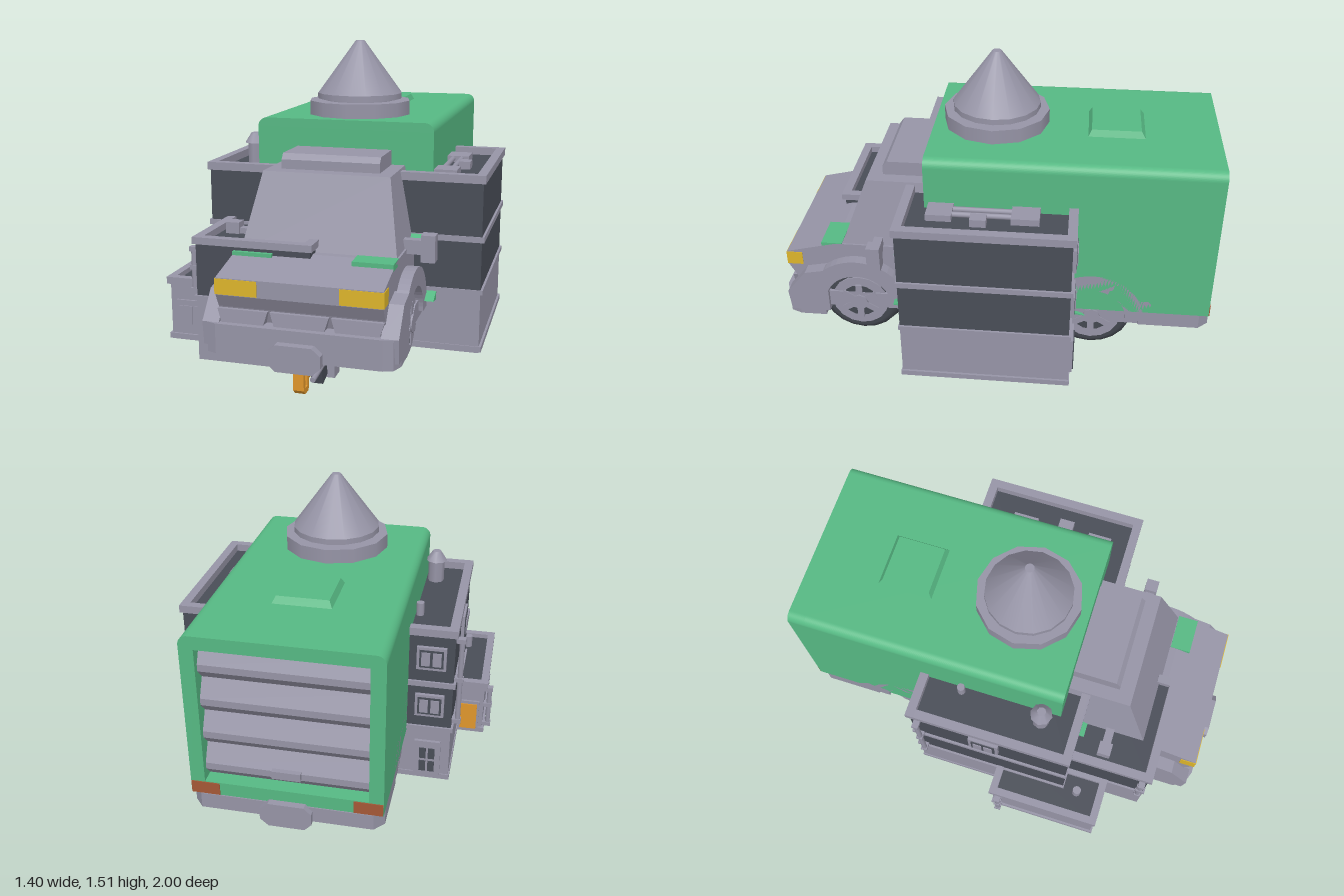
import * as THREE from 'three';

const mat = (name, color) => Object.assign(new THREE.MeshStandardMaterial({ color }), { name });

export function createModel() {
  const root = new THREE.Group();
  root.name = 'vanBuilding';
  const grey = mat('grey metal', 0x9694a6), dark = mat('dark wall', 0x494d57), green = mat('green paint', 0x56b883);
  const yellow = mat('yellow lamp', 0xdcb42b), orange = mat('orange', 0xdf962c), rust = mat('rust', 0xa45836);
  const tan = mat('copper tan', 0xc4936c), purple = mat('purple', 0x7550bd), tyre = mat('tyre rubber', 0x43474f);

  const add = (name, geo, m, x = 0, y = 0, z = 0) => {
    const mesh = new THREE.Mesh(geo, m);
    mesh.name = name;
    mesh.position.set(x, y, z);
    root.add(mesh);
    return mesh;
  };
  const box = (name, m, x0, x1, y0, y1, z0, z1) =>
    add(name, new THREE.BoxGeometry(x1 - x0, y1 - y0, z1 - z0), m, (x0 + x1) / 2, (y0 + y1) / 2, (z0 + z1) / 2);
  // Tapered block between a lower and an upper rectangle [x0, x1, z0, z1]
  const taper = (name, m, y0, y1, low, high) => {
    const g = new THREE.BoxGeometry(1, 1, 1), p = g.attributes.position;
    for (let i = 0; i < p.count; i++) {
      const r = p.getY(i) > 0 ? high : low;
      p.setXYZ(i, r[p.getX(i) > 0 ? 1 : 0], p.getY(i) > 0 ? y1 : y0, r[p.getZ(i) > 0 ? 3 : 2]);
    }
    g.computeVertexNormals();
    return add(name, g, m);
  };
  const points = pts => pts.map(p => new THREE.Vector2(...p));
  const extrude = (shape, depth) => new THREE.ExtrudeGeometry(shape, { depth, bevelEnabled: false, curveSegments: 12 });
  // Side profile of [z, y] points swept along x
  const sweepX = (name, m, x0, x1, pts) =>
    add(name, extrude(new THREE.Shape(points(pts.map(([z, y]) => [-z, y]))), x1 - x0).rotateY(Math.PI / 2), m, x0);
  // Plan outline of [x, z] points swept along y
  const sweepY = (name, m, y0, y1, pts) =>
    add(name, extrude(new THREE.Shape(points(pts.map(([x, z]) => [x, -z]))), y1 - y0).rotateX(-Math.PI / 2), m, 0, y0);
  const frame = (name, m, x0, x1, y0, y1, z0, z1, w) => {
    box(name, m, x0, x1, y0, y1, z0, z0 + w);
    box(name, m, x0, x1, y0, y1, z1 - w, z1);
    box(name, m, x0, x0 + w, y0, y1, z0 + w, z1 - w);
    box(name, m, x1 - w, x1, y0, y1, z0 + w, z1 - w);
  };
  const rod = (name, m, a, b, r, sides = 10) => {
    const A = new THREE.Vector3(...a), B = new THREE.Vector3(...b), d = B.clone().sub(A);
    const mesh = add(name, new THREE.CylinderGeometry(r, r, d.length(), sides), m);
    mesh.position.copy(A).add(B).multiplyScalar(0.5);
    mesh.quaternion.setFromUnitVectors(new THREE.Vector3(0, 1, 0), d.normalize());
  };

  // Main building: base, two dark storeys, bands and parapet
  box('buildingBase', grey, -0.54, 0.69, 0.19, 0.46, -0.36, 0.38);
  box('buildingWalls', dark, -0.54, 0.69, 0.46, 0.94, -0.355, 0.38);
  box('floorBand', grey, -0.55, 0.7, 0.455, 0.475, -0.365, 0.385);
  box('floorBand', grey, -0.55, 0.7, 0.685, 0.71, -0.365, 0.385);
  frame('parapet', grey, -0.55, 0.7, 0.94, 0.975, -0.37, 0.39, 0.04);
  box('plinth', grey, -0.545, 0.7, 0.195, 0.22, -0.365, 0.385);

  // Front wing that runs into the bonnet
  box('frontWingBase', grey, -0.45, 0.05, 0.19, 0.46, 0.38, 0.76);
  box('frontWingWall', dark, -0.45, 0.05, 0.46, 0.695, 0.38, 0.755);
  box('frontWingBand', grey, -0.46, 0.055, 0.455, 0.475, 0.38, 0.765);
  box('frontWingParapet', grey, -0.46, 0.06, 0.7, 0.73, 0.73, 0.77);
  box('frontWingParapet', grey, -0.46, -0.42, 0.7, 0.73, 0.385, 0.73);
  box('frontWingParapet', grey, 0.02, 0.06, 0.7, 0.73, 0.67, 0.73);

  // Low side annexe with door and window
  box('annexe', grey, -0.665, -0.45, 0.19, 0.455, 0.06, 0.57);
  box('annexeRoof', dark, -0.66, -0.46, 0.455, 0.46, 0.07, 0.56);
  frame('annexeParapet', grey, -0.68, -0.44, 0.45, 0.482, 0.045, 0.58, 0.035);
  box('annexePlinth', grey, -0.675, -0.45, 0.195, 0.22, 0.05, 0.58);
  box('annexeDoorFrame', grey, -0.645, -0.545, 0.2, 0.37, 0.048, 0.06);
  box('annexeDoor', orange, -0.635, -0.555, 0.215, 0.355, 0.043, 0.05);
  add('roofPot', new THREE.CylinderGeometry(0.02, 0.02, 0.06, 10), grey, -0.55, 0.49, 0.45);

  // Back wall: framed two-pane windows and doors
  for (const x of [-0.44, 0.58]) {
    for (const y of [0.83, 0.59]) {
      box('windowFrame', grey, x - 0.065, x + 0.065, y - 0.055, y + 0.055, -0.372, -0.35);
      box('windowRecess', dark, x - 0.053, x + 0.053, y - 0.043, y + 0.043, -0.374, -0.37);
      for (const k of [-1, 1]) box('windowPane', grey, x + k * 0.025 - 0.019, x + k * 0.025 + 0.019, y - 0.033, y + 0.033, -0.378, -0.373);
    }
    box('backDoorFrame', grey, x - 0.06, x + 0.06, 0.22, 0.4, -0.375, -0.36);
  }
  box('backDoor', dark, 0.54, 0.62, 0.22, 0.38, -0.38, -0.374);
  for (const x of [-0.475, -0.435]) for (const y of [0.24, 0.31]) box('backDoorPane', dark, x, x + 0.03, y, y + 0.055, -0.38, -0.374);
  for (const x of [0.03, 0.13]) box('orangeBackDoor', orange, x, x + 0.08, 0.222, 0.345, -0.372, -0.364);

  // Side and annexe windows
  box('annexeWindowFrame', grey, -0.635, -0.48, 0.25, 0.38, 0.565, 0.58);
  for (const x of [-0.62, -0.55]) box('annexeWindowPane', grey, x, x + 0.06, 0.27, 0.355, 0.58, 0.585);
  box('sideWindowFrame', grey, -0.555, -0.54, 0.77, 0.9, -0.08, 0.06);
  box('sideWindowRecess', dark, -0.559, -0.553, 0.785, 0.885, -0.065, 0.045);
  for (const z of [-0.055, -0.005]) box('sideWindowPane', grey, -0.563, -0.557, 0.8, 0.87, z, z + 0.04);

  // Drain pipes with brackets
  for (const [x, z, y0, y1] of [[-0.565, -0.32, 0.49, 0.92], [-0.69, 0.09, 0.22, 0.44], [-0.47, 0.73, 0.48, 0.68]]) {
    rod('drainPipe', grey, [x, y0, z], [x, y1, z], 0.012);
    for (const y of [y0, (y0 + y1) / 2, y1 - 0.02]) box('pipeBracket', grey, x - 0.015, x + 0.03, y, y + 0.02, z - 0.015, z + 0.015);
  }

  // Roof chimney and ducts
  add('chimney', new THREE.CylinderGeometry(0.038, 0.038, 0.11, 8), grey, -0.385, 0.99, 0.21);
  add('chimneyCap', new THREE.CylinderGeometry(0.02, 0.05, 0.045, 8), grey, -0.385, 1.068, 0.21);
  rod('roofPipe', grey, [-0.36, 0.94, -0.17], [-0.36, 1.0, -0.17], 0.018);
  box('roofUnit', grey, 0.45, 0.56, 0.94, 0.97, -0.21, -0.09);
  box('roofUnit', grey, 0.45, 0.56, 0.94, 0.97, 0.16, 0.27);
  box('roofUnit', grey, 0.54, 0.59, 0.94, 0.975, 0.01, 0.08);
  for (const x of [0.485, 0.525]) rod('roofDuct', grey, [x, 0.957, -0.1], [x, 0.957, 0.17], 0.012);

  // Van cargo body with rounded roof edges and an open rear frame
  const bodyShape = () => {
    const s = new THREE.Shape().moveTo(-0.34, 0.44).lineTo(0.46, 0.44);
    s.absarc(0.42, 1.132, 0.04, 0, Math.PI / 2, false);
    s.absarc(-0.3, 1.132, 0.04, Math.PI / 2, Math.PI, false);
    return s;
  };
  add('cargoBody', extrude(bodyShape(), 1.18), green, 0, 0, -0.89);
  const rear = bodyShape();
  rear.holes.push(new THREE.Path(points([[-0.28, 0.5], [-0.28, 1.115], [0.4, 1.115], [0.4, 0.5]])));
  add('rearFrame', extrude(rear, 0.08), green, 0, 0, -0.97);
  for (let i = 0; i < 4; i++) {
    const y = 0.5 + i * 0.154;
    sweepX('shutterSlat', grey, -0.28, 0.4, [[-0.885, y], [-0.905, y], [-0.945, y + 0.045], [-0.945, y + 0.075],
      [-0.905, y + 0.154], [-0.885, y + 0.154]]);
  }
  box('shutterHandle', grey, 0.0, 0.12, 0.55, 0.585, -0.962, -0.93);
  for (const x of [-0.338, 0.338]) box('tailLamp', rust, x, x + 0.12, 0.442, 0.497, -0.974, -0.968);
  taper('roofHatch', green, 1.17, 1.2, [-0.065, 0.185, -0.645, -0.395], [-0.05, 0.17, -0.625, -0.41]);

  // Cone on the roof
  add('coneBase', new THREE.CylinderGeometry(0.235, 0.235, 0.065, 12), grey, 0.06, 1.203, 0.015);
  add('coneNeck', new THREE.CylinderGeometry(0.165, 0.165, 0.02, 16), grey, 0.06, 1.24, 0.015);
  add('coneRim', new THREE.CylinderGeometry(0.195, 0.195, 0.025, 16), grey, 0.06, 1.256, 0.015);
  add('cone', new THREE.CylinderGeometry(0.02, 0.195, 0.238, 16), grey, 0.06, 1.387, 0.015);

  // Cab, roof fairing, bonnet and nose
  taper('cab', grey, 0.66, 0.985, [-0.275, 0.395, 0.25, 0.695], [-0.215, 0.335, 0.25, 0.57]);
  sweepX('roofFairing', grey, -0.155, 0.275, [[0.28, 0.97], [0.505, 0.97], [0.505, 1.025], [0.485, 1.05], [0.28, 1.05]]);
  sweepX('bonnet', grey, -0.28, 0.4, [[0.28, 0.4], [0.28, 0.68], [0.72, 0.68], [0.95, 0.625], [0.95, 0.555], [0.92, 0.5], [0.89, 0.42]]);
  for (const [x, z] of [[-0.28, 0.773], [0.23, 0.785]]) {
    box('headlamp', yellow, x - 0.003, x + 0.173, 0.558, 0.622, 0.88, 0.953);
    box('bonnetPatch', green, x, x + 0.17, 0.655, 0.683, 0.69, z);
  }
  for (const [a, b] of [[-0.28, -0.07], [-0.06, 0.18], [0.19, 0.4]])
    taper('grillePanel', grey, 0.43, 0.495, [a + 0.02, b - 0.02, 0.88, 0.94], [a, b, 0.88, 0.935]);

  // Bumpers, number plates and chassis
  sweepY('frontBumper', grey, 0.315, 0.44, [[-0.34, 0.78], [0.46, 0.78], [0.46, 0.9], [0.44, 0.95], [0.4, 0.965], [-0.28, 0.965], [-0.32, 0.95], [-0.34, 0.9]]);
  sweepY('rearBumper', grey, 0.37, 0.44, [[-0.34, -0.66], [0.46, -0.66], [0.46, -0.93], [0.42, -0.975], [-0.3, -0.975], [-0.34, -0.93]]);
  box('chassis', grey, -0.32, 0.44, 0.36, 0.44, -0.68, 0.82);
  const plate = new THREE.Shape(points([[-0.05, 0.31], [-0.02, 0.28], [0.13, 0.28], [0.165, 0.31], [0.165, 0.36], [0.13, 0.39], [-0.02, 0.39], [-0.05, 0.36]]));
  add('frontPlate', extrude(plate, 0.04), grey, 0, 0, 0.96);
  add('rearPlate', extrude(plate, 0.035), grey, 0, 0.06, -1);

  // Wheels with round-shouldered tyres, hubs and broad arches
  const tyreProfile = points([[0, -0.1], [0.15, -0.1], [0.18, -0.08], [0.195, -0.045], [0.195, 0.045], [0.18, 0.08], [0.15, 0.1], [0, 0.1]]);
  for (const s of [-1, 1]) for (const z of [0.62, -0.45]) {
    const x = 0.06 + s * 0.265, y = 0.39;
    add('tyre', new THREE.LatheGeometry(tyreProfile, 20).rotateZ(Math.PI / 2), tyre, x, y, z);
    rod('wheelRim', grey, [x + s * 0.09, y, z], [x + s * 0.108, y, z], 0.13, 16);
    rod('rimRecess', tyre, [x + s * 0.1, y, z], [x + s * 0.111, y, z], 0.085, 16);
    rod('hub', grey, [x + s * 0.1, y, z], [x + s * 0.125, y, z], 0.04, 8);
    for (let i = 0; i < 3; i++) {
      const spoke = box('spoke', grey, x + s * 0.112 - 0.006, x + s * 0.112 + 0.006, y - 0.09, y + 0.09, z - 0.015, z + 0.015);
      spoke.rotation.x = i * Math.PI / 3;
    }
    const arch = new THREE.Shape();
    arch.absarc(0, 0, 0.235, 0, Math.PI, false);
    arch.absarc(0, 0, 0.155, Math.PI, 0, true);
    add('wheelArch', extrude(arch, 0.05).rotateY(Math.PI / 2), grey, s > 0 ? 0.41 : -0.34, y, z);
    sweepX('archSkirt', grey, s > 0 ? 0.39 : -0.34, s > 0 ? 0.46 : -0.27, z > 0
      ? [[0.76, 0.34], [0.94, 0.34], [0.95, 0.44], [0.86, 0.55], [0.76, 0.57]]
      : [[-0.6, 0.39], [-0.76, 0.39], [-0.76, 0.44], [-0.7, 0.5], [-0.6, 0.5]]);
    // Door mirrors and green corner wedges
    if (z > 0) {
      const mx = 0.06 + s * 0.43;
      box('mirror', grey, mx - 0.03, mx + 0.03, 0.63, 0.745, 0.49, 0.55);
      box('mirrorArm', grey, Math.min(mx, mx - s * 0.11), Math.max(mx, mx - s * 0.11), 0.66, 0.72, 0.5, 0.54);
      sweepX('greenCorner', green, 0.06 + s * 0.36 - 0.035, 0.06 + s * 0.36 + 0.035, [[0.38, 0.67], [0.44, 0.68], [0.38, 0.71]]);
    }
  }
  sweepX('greenAwning', green, 0.43, 0.5, [[0.38, 0.42], [0.45, 0.43], [0.38, 0.46]]);
  sweepX('greenAwning', green, 0.4, 0.458, [[-0.355, 0.42], [-0.42, 0.4], [-0.355, 0.405]]);
  box('sideLampBracket', grey, 0.4, 0.47, 0.63, 0.68, 0.385, 0.44);

  // Underside: copper ring, rust spindle and hanging tools
  const ring = new THREE.Shape();
  ring.absarc(0, 0, 0.3, 0, Math.PI * 1.7, false);
  ring.absarc(0, 0, 0.24, Math.PI * 1.7, 0, true);
  const ringGeo = new THREE.ExtrudeGeometry(ring, { depth: 0.025, bevelEnabled: false, curveSegments: 9 }).rotateX(-Math.PI / 2);
  add('copperRing', ringGeo, tan, 0.06, 0.168, 0.02);
  const spindle = points([[0, -0.29], [0.045, -0.29], [0.03, -0.2], [0.022, 0], [0.03, 0.22], [0.045, 0.33], [0, 0.33]]);
  add('rustSpindle', new THREE.LatheGeometry(spindle, 8).rotateX(Math.PI / 2), rust, 0.085, 0.165, 0).rotation.y = 0.12;
  const handle = new THREE.Shape(points([[-0.87, 0.15], [-0.85, 0.13], [-0.81, 0.13], [-0.8, 0.15], [-0.8, 0.23], [-0.82, 0.245], [-0.85, 0.245], [-0.87, 0.23]]));
  handle.holes.push(new THREE.Path(points([[-0.85, 0.155], [-0.82, 0.155], [-0.82, 0.22], [-0.85, 0.22]])));
  add('orangeHandle', extrude(handle, 0.045).rotateY(Math.PI / 2), orange, 0.01);
  rod('orangeArm', orange, [0.04, 0.185, 0.81], [0.05, 0.17, 0.42], 0.014, 6);
  box('orangeBlock', orange, 0.01, 0.08, 0.155, 0.192, 0.41, 0.54);
  rod('greyStrut', grey, [0.07, 0.17, 0.8], [0.07, 0.2, 0.5], 0.012, 6);
  box('darkFoot', dark, 0.02, 0.07, 0.1, 0.19, 0.6, 0.67).rotation.x = 0.3;
  box('darkFoot', dark, 0.04, 0.08, 0.035, 0.11, 0.11, 0.17).rotation.x = 0.3;
  box('hangingBlock', grey, 0.03, 0.08, 0.06, 0.15, 0.435, 0.515);
  box('purpleJoint', purple, 0.03, 0.1, 0.105, 0.13, 0.1, 0.19);
  rod('purpleRod', purple, [0.065, 0.115, 0.18], [0.065, 0.135, 0.04], 0.014, 6);
  box('greyLink', grey, 0.03, 0.1, 0.095, 0.15, -0.15, 0.05);
  box('greyFoot', grey, 0.04, 0.08, 0, 0.1, -0.11, -0.03);
  return root;
}
